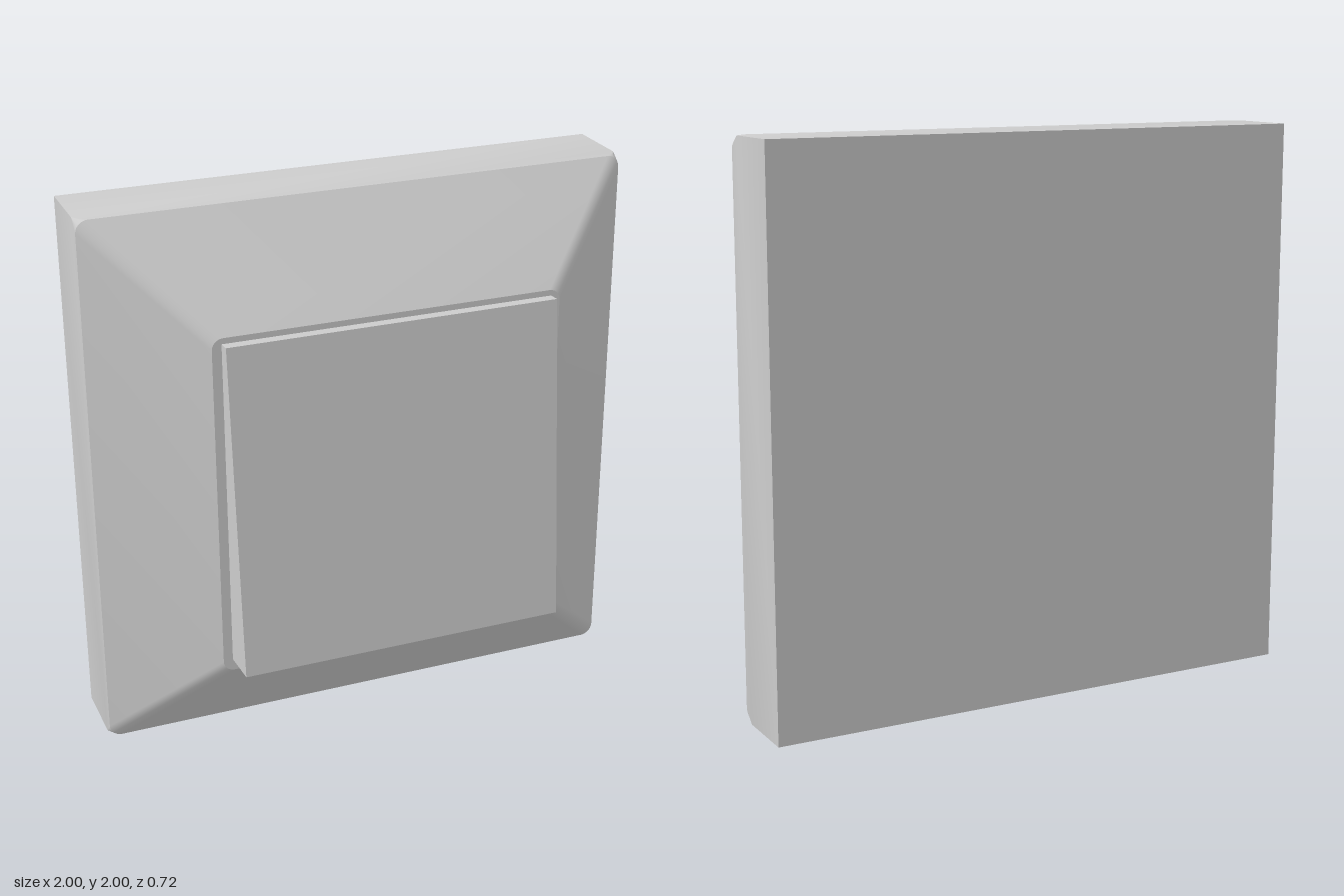
import * as THREE from 'three';
import { toCreasedNormals } from 'three/addons/utils/BufferGeometryUtils.js';

const STEPS = 6; // segments per rounded corner

// Square outline with rounded corners at depth z, counter-clockwise from the front
function section(half, radius, z) {
  const points = [];
  for (let corner = 0; corner < 4; corner++) {
    const mid = Math.PI / 4 + corner * Math.PI / 2;
    const cx = Math.sign(Math.cos(mid)) * (half - radius);
    const cy = Math.sign(Math.sin(mid)) * (half - radius);
    for (let i = 0; i <= STEPS; i++) {
      const a = (corner + i / STEPS) * Math.PI / 2;
      points.push(new THREE.Vector3(cx + radius * Math.cos(a), cy + radius * Math.sin(a), z));
    }
  }
  return points;
}

// Skin a list of sections from back to front, with optional end caps
function loft(sections, capBack, capFront) {
  const positions = [];
  const tri = (a, b, c) => {
    const area = b.clone().sub(a).cross(c.clone().sub(a)).length();
    if (area > 1e-8) positions.push(...a, ...b, ...c);
  };
  const n = sections[0].length;
  const last = sections.length - 1;
  const backCentre = new THREE.Vector3(0, 0, sections[0][0].z);
  const frontCentre = new THREE.Vector3(0, 0, sections[last][0].z);
  for (let i = 0; i < n; i++) {
    const j = (i + 1) % n;
    for (let s = 0; s < last; s++) {
      const p = sections[s], q = sections[s + 1];
      tri(p[i], p[j], q[j]);
      tri(p[i], q[j], q[i]);
    }
    if (capBack) tri(backCentre, sections[0][j], sections[0][i]);
    if (capFront) tri(frontCentre, sections[last][i], sections[last][j]);
  }
  const geometry = new THREE.BufferGeometry();
  geometry.setAttribute('position', new THREE.Float32BufferAttribute(positions, 3));
  return toCreasedNormals(geometry, 0.5);
}

export function createModel() {
  const group = new THREE.Group();
  const material = new THREE.MeshStandardMaterial({ color: 0xcccccc });
  const add = (name, geometry) => {
    const mesh = new THREE.Mesh(geometry, material);
    mesh.name = name;
    group.add(mesh);
    return mesh;
  };

  // Square back box with its front corners clipped
  const edge = section(1, 0.045, -0.075);
  add('backBox', loft([section(1, 0, -0.36), section(1, 0, -0.12), edge], true, false)).position.y = 1;

  // Sloping frame with softly rounded corners and a flat front
  add('slopedFrame', loft([edge, section(0.637, 0.04, 0.208)], false, true)).position.y = 1;

  // Tilted rocker: side profile (z, y) extruded across x
  const profile = new THREE.Shape([
    [0.1, 1.607], [0.255, 1.62], [0.36, 0.42], [0.1, 0.397],
  ].map(([z, y]) => new THREE.Vector2(-z, y)));
  const rocker = new THREE.ExtrudeGeometry(profile, { depth: 1.206, bevelEnabled: false });
  rocker.translate(0, 0, -0.603).rotateY(Math.PI / 2);
  // The turn maps profile x (= -z) onto +z
  add('rocker', rocker);

  return group;
}
